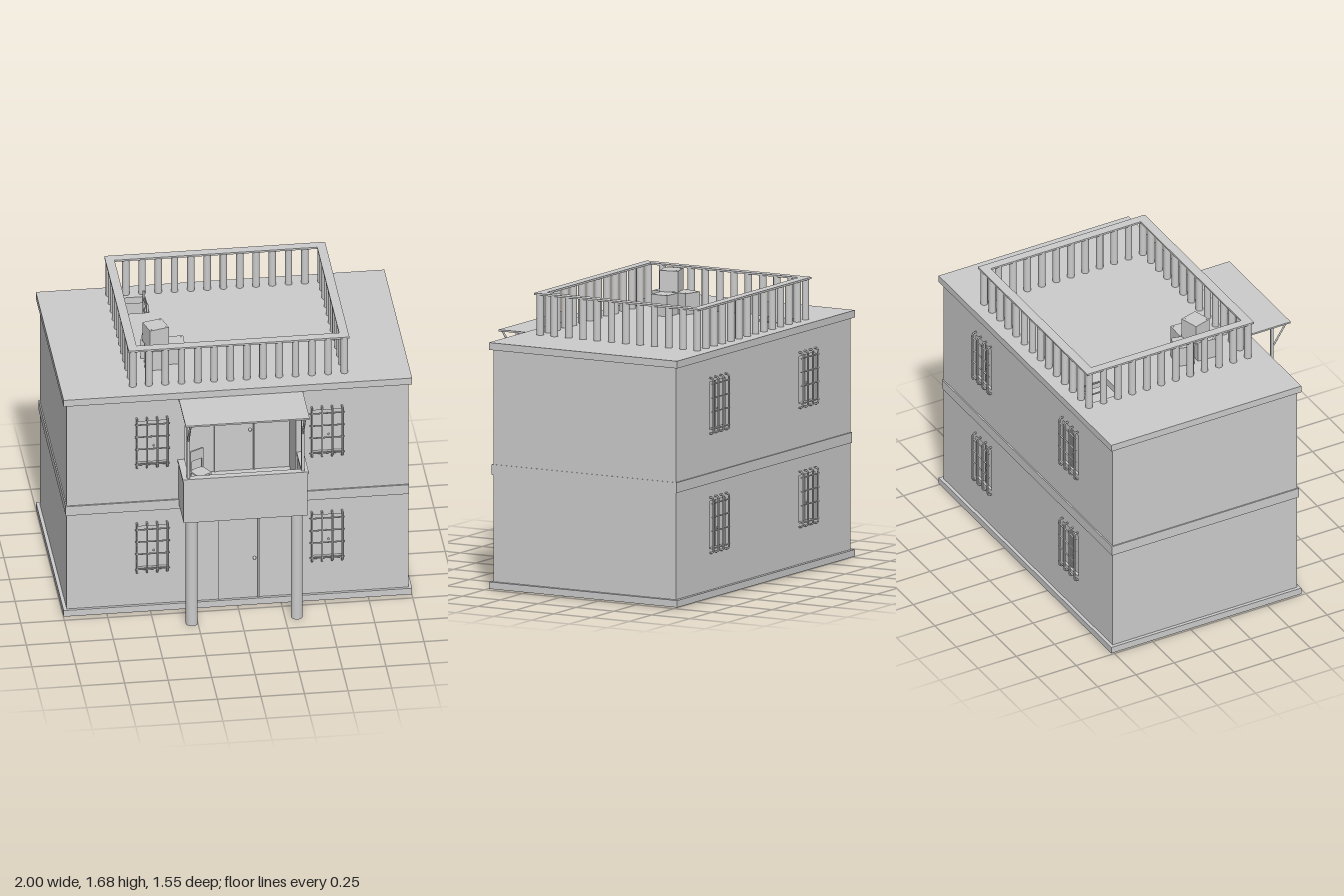
import * as THREE from 'three';

const mat = new THREE.MeshStandardMaterial({ color: 0xcccccc, side: THREE.DoubleSide });

function add(parent, name, geo, x = 0, y = 0, z = 0) {
  const m = new THREE.Mesh(geo, mat);
  m.name = name;
  m.position.set(x, y, z);
  parent.add(m);
  return m;
}

// box given by its limits on each axis
function box(parent, name, x0, x1, y0, y1, z0, z1) {
  return add(parent, name, new THREE.BoxGeometry(x1 - x0, y1 - y0, z1 - z0),
    (x0 + x1) / 2, (y0 + y1) / 2, (z0 + z1) / 2);
}

function rod(parent, name, a, b, r, sides = 8) {
  const p = new THREE.Vector3(...a), q = new THREE.Vector3(...b);
  const m = add(parent, name, new THREE.CylinderGeometry(r, r, p.distanceTo(q), sides));
  m.position.copy(p).add(q).multiplyScalar(0.5);
  m.quaternion.setFromUnitVectors(new THREE.Vector3(0, 1, 0), q.sub(p).normalize());
  return m;
}

function rectPath(P, x0, x1, y0, y1) {
  const p = new P();
  p.moveTo(x0, y0);
  p.lineTo(x1, y0);
  p.lineTo(x1, y1);
  p.lineTo(x0, y1);
  p.closePath();
  return p;
}

// panel in the xy plane with rectangular holes [x0, x1, y0, y1]
function panel([x0, x1, y0, y1], holes, depth) {
  const s = rectPath(THREE.Shape, x0, x1, y0, y1);
  holes.forEach(h => s.holes.push(rectPath(THREE.Path, ...h)));
  return new THREE.ExtrudeGeometry(s, { depth, bevelEnabled: false });
}

// flat slab with holes, limits given as [x0, x1, z0, z1]
function slab(parent, name, r, holes, y0, y1) {
  const flip = ([a, b, c, d]) => [a, b, -d, -c];
  const g = panel(flip(r), holes.map(flip), y1 - y0).rotateX(-Math.PI / 2);
  return add(parent, name, g, 0, y0, 0);
}

const WX = 0.98, ZF = 0.455, ZB = -0.75;
const windowX = [-0.492, 0.512], windowY = [0.423, 1.112];

// window leaves, mullion, latch and protruding bar grille; dir is the outward z
function windowUnit(parent, cx, cy, z, dir) {
  const g = new THREE.Group();
  g.name = 'barredWindow';
  g.position.set(cx, cy, z);
  if (dir < 0) g.rotation.y = Math.PI;
  parent.add(g);
  for (const s of [-1, 1]) {
    const a = s < 0 ? -0.088 : 0.002;
    box(g, 'windowLeaf', a, a + 0.086, -0.135, 0.135, -0.024, -0.014);
  }
  box(g, 'mullion', -0.005, 0.005, -0.135, 0.135, -0.02, -0.01);
  add(g, 'latch', new THREE.SphereGeometry(0.006, 8, 6), 0.012, -0.03, -0.01);
  for (let i = 0; i < 4; i++) {
    const x = -0.087 + i * 0.058, h = 0.16, o = 0.024;
    const pts = [[-h, -0.005], [-h, 0.012], [-h + 0.003, 0.02], [-h + 0.012, o], [-h + 0.03, o],
      [h - 0.03, o], [h - 0.012, o], [h - 0.003, 0.02], [h, 0.012], [h, -0.005]];
    const curve = new THREE.CatmullRomCurve3(pts.map(([y, d]) => new THREE.Vector3(x, y, d)), false, 'catmullrom', 0.3);
    add(g, 'verticalBar', new THREE.TubeGeometry(curve, 40, 0.0055, 6));
  }
  for (const y of [-0.133, -0.033, 0.047, 0.127]) {
    rod(g, 'crossBar', [-0.1, y, 0.022], [0.1, y, 0.022], 0.0045, 6);
  }
}

function door(parent, cx, y0, h, z) {
  const g = new THREE.Group();
  g.name = 'door';
  g.position.set(cx, y0, z);
  parent.add(g);
  const w = 0.117;
  box(g, 'doorLeaf', -w + 0.01, w - 0.01, 0, h - 0.01, -0.01, 0.003);
  for (const s of [-1, 1]) box(g, 'doorJamb', s * (w - 0.005) - 0.005, s * (w - 0.005) + 0.005, 0, h, -0.01, 0.01);
  box(g, 'doorHead', -w, w, h - 0.01, h, -0.01, 0.01);
  add(g, 'doorKnob', new THREE.SphereGeometry(0.01, 12, 8), 0.088, h * 0.475, 0.012);
}

export function createModel() {
  const house = new THREE.Group();
  house.name = 'house';

  // walls with window openings and the balcony recess
  const holes = windowX.flatMap(x => windowY.map(y => [x - 0.09, x + 0.09, y - 0.137, y + 0.137]));
  const recess = [-0.3, 0.335, 0.73, 1.37];
  add(house, 'frontWall', panel([-WX, WX, 0.03, 1.4], [...holes, recess], 0.03), 0, 0, ZF - 0.03);
  add(house, 'backWall', panel([-WX, WX, 0.03, 1.4], holes, 0.03), 0, 0, ZB);
  for (const s of [-1, 1]) box(house, 'sideWall', s * (WX - 0.015) - 0.015, s * (WX - 0.015) + 0.015, 0.03, 1.4, ZB, ZF);
  for (const x of windowX) for (const y of windowY) {
    windowUnit(house, x, y, ZF, 1);
    windowUnit(house, x, y, ZB, -1);
  }

  // floors and the trims around the outside
  box(house, 'groundFloor', -0.97, 0.97, 0.03, 0.045, -0.74, 0.445);
  box(house, 'upperFloor', -0.97, 0.97, 0.7, 0.73, -0.74, 0.445);
  slab(house, 'baseTrim', [-1, 1, -0.77, 0.472], [[-0.97, 0.97, -0.74, 0.442]], 0.008, 0.048);
  slab(house, 'middleTrim', [-0.987, 0.983, -0.758, 0.464], [[-0.97, 0.97, -0.74, 0.445]], 0.665, 0.725);

  // roof with access hatch and ladder
  const hatch = [-0.565, -0.39, -0.64, -0.457];
  slab(house, 'roof', [-1, 1, -0.77, 0.472], [hatch], 1.388, 1.43);
  for (const z of [-0.625, -0.475]) box(house, 'ladderRail', -0.405, -0.393, 0.73, 1.475, z - 0.006, z + 0.006);
  for (let y = 0.8; y < 1.46; y += 0.07) rod(house, 'ladderRung', [-0.399, y, -0.625], [-0.399, y, -0.475], 0.005, 6);

  // balcony recess
  const zR = 0.18;
  box(house, 'recessBack', -0.32, 0.355, 0.72, 1.388, zR - 0.02, zR);
  box(house, 'recessLeftSide', 0.335, 0.355, 0.72, 1.388, zR, ZF - 0.005);
  box(house, 'recessRightSide', -0.32, -0.3, 0.72, 1.388, zR, ZF - 0.005);
  box(house, 'recessCeiling', -0.3, 0.335, 1.37, 1.388, zR, ZF - 0.005);
  door(house, 0.018, 0.73, 0.56, zR);
  door(house, 0.008, 0.05, 0.55, ZF);

  // small chair on the balcony
  const chair = new THREE.Group();
  chair.name = 'chair';
  chair.position.set(-0.2, 0.73, 0.36);
  chair.rotation.y = 0.5;
  house.add(chair);
  box(chair, 'chairSeat', -0.045, 0.045, 0.1, 0.11, -0.045, 0.045);
  box(chair, 'chairBack', -0.045, 0.045, 0.17, 0.235, -0.045, -0.035);
  for (const x of [-0.04, 0.04]) {
    box(chair, 'chairFrontLeg', x - 0.005, x + 0.005, 0, 0.1, 0.035, 0.045);
    box(chair, 'chairBackLeg', x - 0.005, x + 0.005, 0, 0.235, -0.045, -0.035);
  }

  // balcony tray
  const bx0 = -0.338, bx1 = 0.373, bz = 0.683, t = 0.03;
  box(house, 'balconyFloor', bx0, bx1, 0.695, 0.73, ZF - 0.01, bz);
  box(house, 'balconyFront', bx0, bx1, 0.695, 0.978, bz - t, bz);
  for (const x of [bx0, bx1 - t]) box(house, 'balconySide', x, x + t, 0.695, 0.978, ZF, bz - t);
  box(house, 'frontCap', bx0 - 0.006, bx1 + 0.006, 0.97, 0.983, bz - t - 0.004, bz + 0.006);
  for (const x of [bx0 - 0.006, bx1 - t - 0.004]) box(house, 'sideCap', x, x + t + 0.01, 0.97, 0.983, ZF, bz - t);

  // columns, canopy, posts and braces
  for (const x of [-0.285, 0.318]) rod(house, 'column', [x, 0, 0.625], [x, 0.7, 0.625], 0.034, 24);
  box(house, 'canopy', bx0, bx1, 1.376, 1.386, ZF, 0.776);
  for (const x of [-0.31, 0.347]) {
    box(house, 'canopyPost', x - 0.008, x + 0.008, 0.975, 1.378, 0.66, 0.676);
    rod(house, 'canopyBrace', [x, 1.23, 0.672], [x, 1.378, 0.768], 0.007, 4);
  }

  // roof railing
  const rx0 = -0.615, rx1 = 0.652, rz0 = -0.71, rz1 = 0.38;
  slab(house, 'handrail', [rx0, rx1, rz0, rz1], [[rx0 + 0.052, rx1 - 0.052, rz0 + 0.055, rz1 - 0.055]], 1.662, 1.673);
  const baluster = new THREE.CylinderGeometry(0.021, 0.021, 0.235, 14);
  const ax = rx0 + 0.026, az = rz0 + 0.026, lx = rx1 - rx0 - 0.052, lz = rz1 - rz0 - 0.052;
  for (let i = 0; i < 14; i++) for (const z of [az, az + lz]) add(house, 'baluster', baluster, ax + lx * i / 13, 1.547, z);
  for (let i = 1; i < 11; i++) for (const x of [ax, ax + lx]) add(house, 'baluster', baluster, x, 1.547, az + lz * i / 11);

  // stacked crates on the roof: x, z, base height, turn
  const crates = [[-0.435, 0.015, 1.43, -0.25], [-0.435, 0.143, 1.43, -0.08],
    [-0.318, 0.088, 1.43, -0.04], [-0.425, 0.105, 1.553, 0.28]];
  for (const [x, z, y, turn] of crates) {
    const c = new THREE.Group();
    c.name = 'crate';
    c.position.set(x, y, z);
    c.rotation.y = turn;
    house.add(c);
    add(c, 'crateBody', new THREE.BoxGeometry(0.116, 0.122, 0.11), 0, 0.061, 0);
    for (const a of [-0.045, 0.045]) for (const b of [-0.042, 0.042])
      add(c, 'crateNail', new THREE.CylinderGeometry(0.003, 0.003, 0.004, 6), a, 0.122, b);
  }
  return house;
}
